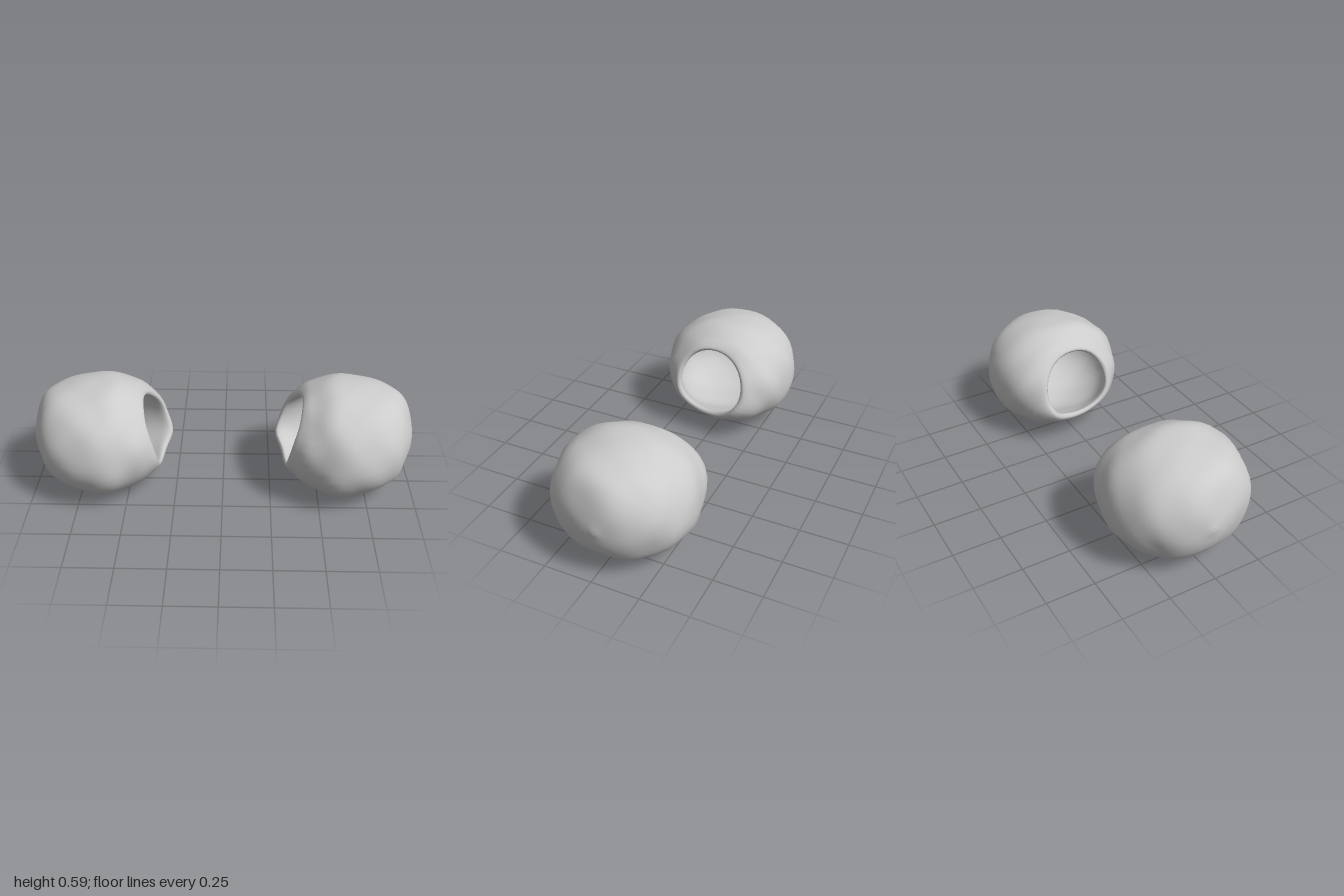
import * as THREE from 'three';
import { mergeVertices } from 'three/addons/utils/BufferGeometryUtils.js';

const SEGMENTS = 40, STEPS = 64;

// Sections from the outer pole to the opening, then back along the hollow:
// [x, bottom y, top y, back z, front z, how far x follows the tilted rim]
const sections = [
  [1.00, 0.30, 0.30, -0.03, -0.03, 0],
  [0.975, 0.21, 0.40, -0.13, 0.06, 0],
  [0.92, 0.11, 0.50, -0.235, 0.20, 0],
  [0.87, 0.07, 0.54, -0.285, 0.265, 0],
  [0.78, 0.032, 0.57, -0.345, 0.325, 0],
  [0.65, 0.003, 0.588, -0.368, 0.362, 0],
  [0.55, 0.013, 0.587, -0.36, 0.35, 0],
  [0.46, 0.045, 0.55, -0.335, 0.305, 0],
  [0.38, 0.085, 0.53, -0.285, 0.26, 0.55],
  [0, 0.14, 0.505, -0.21, 0.205, 1],
  [0.012, 0.16, 0.49, -0.185, 0.185, 1],
  [0.41, 0.12, 0.495, -0.22, 0.21, 0.4],
  [0.52, 0.07, 0.53, -0.29, 0.28, 0],
  [0.65, 0.055, 0.53, -0.31, 0.30, 0],
  [0.78, 0.085, 0.51, -0.28, 0.265, 0],
  [0.89, 0.17, 0.43, -0.17, 0.15, 0],
  [0.94, 0.30, 0.30, -0.03, -0.03, 0],
];

// Uneven rim: cut back at the top, with a small lip low at the back
function rimX(a) {
  const s = Math.sin(a), c = Math.cos(a);
  const lip = Math.exp(-(((a - 3.8) / 0.4) ** 2));
  return 0.33 + 0.045 * s + 0.015 * c + 0.035 * s * s - 0.025 * lip;
}

// Point on a section, slightly squarer than an ellipse
function sectionPoint([x, y0, y1, z0, z1, tilt], a) {
  const s = Math.sin(a), c = Math.cos(a);
  const yMid = y0 + (y1 - y0) * 0.46, zMid = (z0 + z1) / 2;
  const r = (Math.abs(s) ** 2.15 + Math.abs(c) ** 2.15) ** (-1 / 2.15);
  const px = tilt === 1 ? rimX(a) + x : tilt ? THREE.MathUtils.lerp(0.45, rimX(a), tilt) : x;
  return new THREE.Vector3(
    px,
    yMid + r * s * (s > 0 ? y1 - yMid : yMid - y0),
    zMid + r * c * (c > 0 ? z1 - zMid : zMid - z0)
  );
}

// Gentle hand-shaped unevenness
function dent(p) {
  const n = Math.sin(p.x * 19 + p.z * 11) * Math.sin(p.y * 23 + p.x * 7)
    + Math.sin(p.z * 21 - p.y * 13) * Math.sin(p.x * 29 + p.y * 5);
  const center = new THREE.Vector3(0.64, 0.29, 0);
  return p.sub(center).multiplyScalar(1 + 0.011 * n).add(center);
}

function podGeometry(side) {
  const positions = [], index = [];
  for (let j = 0; j < SEGMENTS; j++) {
    const a = (j / SEGMENTS) * Math.PI * 2;
    const curve = new THREE.CatmullRomCurve3(sections.map((s) => sectionPoint(s, a)), false, 'centripetal');
    for (const p of curve.getPoints(STEPS)) {
      dent(p);
      positions.push(p.x * side, Math.max(p.y, 0), p.z);
    }
  }
  const row = STEPS + 1;
  for (let j = 0; j < SEGMENTS; j++) {
    const next = (j + 1) % SEGMENTS;
    for (let i = 0; i < STEPS; i++) {
      const a = j * row + i, b = next * row + i;
      if (side > 0) index.push(a, b, a + 1, b, b + 1, a + 1);
      else index.push(a, a + 1, b, b, a + 1, b + 1);
    }
  }
  const geometry = new THREE.BufferGeometry();
  geometry.setAttribute('position', new THREE.Float32BufferAttribute(positions, 3));
  geometry.setIndex(index);
  const merged = mergeVertices(geometry, 1e-5);
  merged.computeVertexNormals();
  return merged;
}

export function createModel() {
  const group = new THREE.Group();
  const material = new THREE.MeshStandardMaterial({ color: 0xcccccc, side: THREE.DoubleSide });
  // Two mirrored hollow pods with their openings facing each other
  for (const [name, side] of [['leftHollowPod', 1], ['rightHollowPod', -1]]) {
    const pod = new THREE.Mesh(podGeometry(side), material);
    pod.name = name;
    group.add(pod);
  }
  return group;
}
